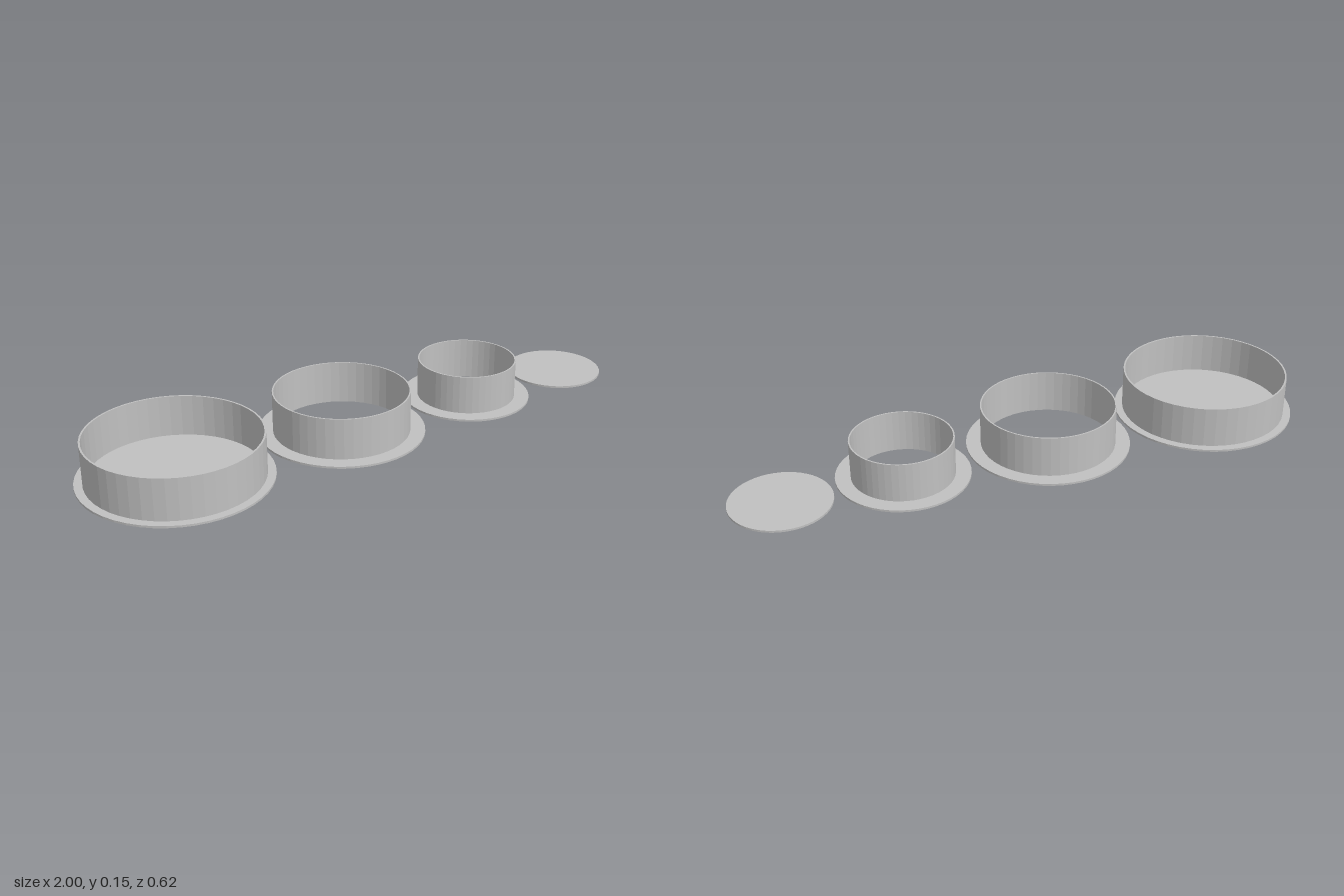
import * as THREE from 'three';

const SEGMENTS = 48;
const FLANGE_BOTTOM = 0.0035;
const FLANGE_TOP = 0.0105;

export function createModel() {
  const model = new THREE.Group();
  model.name = 'ringSet';
  const grey = new THREE.MeshStandardMaterial({ color: 0xc0c0c0, flatShading: true });
  grey.name = 'plain grey';

  const add = (parent, name, geometry) => {
    const mesh = new THREE.Mesh(geometry, grey);
    mesh.name = name;
    parent.add(mesh);
    return mesh;
  };

  // Closed rectangular ring, profile runs counter-clockwise so faces point out
  const ring = (inner, outer, bottom, top) => new THREE.LatheGeometry([
    new THREE.Vector2(inner, bottom),
    new THREE.Vector2(outer, bottom),
    new THREE.Vector2(outer, top),
    new THREE.Vector2(inner, top),
    new THREE.Vector2(inner, bottom),
  ], SEGMENTS);

  const disc = (radius) => new THREE.CylinderGeometry(
    radius, radius, FLANGE_TOP - FLANGE_BOTTOM, SEGMENTS,
  ).translate(0, (FLANGE_TOP + FLANGE_BOTTOM) / 2, 0);

  // Flanged collars from largest to smallest; the first has a solid floor
  const collars = [
    { name: 'largeCup', x: -0.69, flange: 0.31, outer: 0.283, inner: 0.277, bottom: FLANGE_TOP, top: 0.15, solid: true },
    { name: 'mediumCollar', x: -0.0875, flange: 0.2775, outer: 0.228, inner: 0.223, bottom: FLANGE_TOP, top: 0.15 },
    { name: 'smallCollar', x: 0.4275, flange: 0.221, outer: 0.17, inner: 0.165, bottom: 0, top: 0.143 },
  ];
  for (const c of collars) {
    const group = new THREE.Group();
    group.name = c.name;
    group.position.x = c.x;
    // A wall reaching below the flange closes the hole itself
    const hole = c.bottom < FLANGE_TOP ? c.outer : c.inner;
    add(group, 'flange', c.solid ? disc(c.flange) : ring(hole, c.flange, FLANGE_BOTTOM, FLANGE_TOP));
    add(group, 'wall', ring(c.inner, c.outer, c.bottom, c.top));
    model.add(group);
  }

  // Loose flat disc
  add(model, 'lidDisc', disc(0.167)).position.x = 0.833;

  return model;
}
